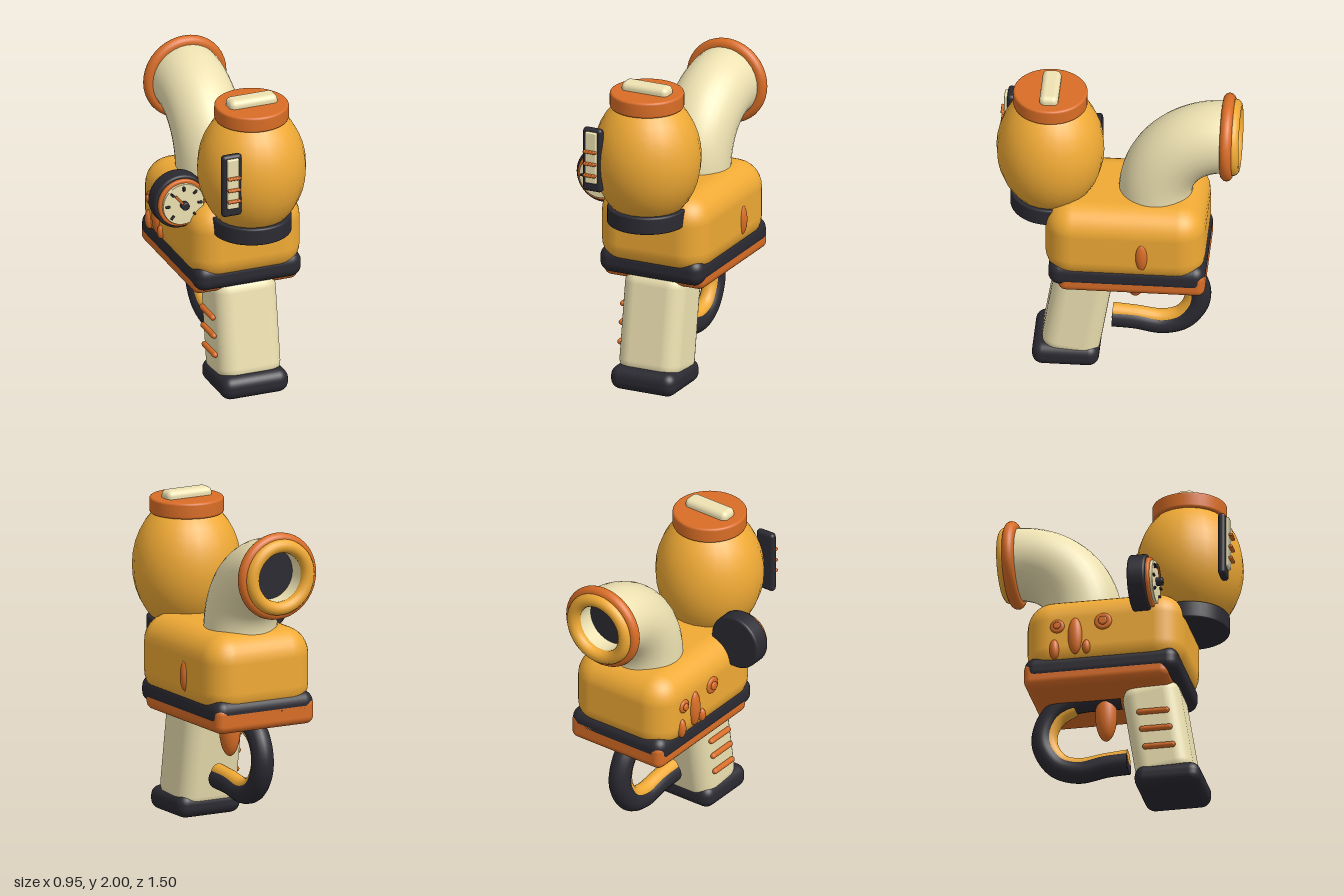
import * as THREE from 'three';
import { RoundedBoxGeometry } from 'three/addons/geometries/RoundedBoxGeometry.js';

const CX = 0.09; // centre line of the main parts

export function createModel() {
  const model = new THREE.Group();
  model.name = 'nozzleTool';
  const mat = (color) => new THREE.MeshStandardMaterial({ color });
  const yellow = mat(0xf0aa35), orange = mat(0xd96d26), cream = mat(0xeee2b2), dark = mat(0x2b2a32);
  const creamOpen = mat(0xeee2b2);
  creamOpen.side = THREE.DoubleSide;

  const add = (name, geometry, material, x, y, z, parent = model) => {
    const mesh = new THREE.Mesh(geometry, material);
    mesh.name = name;
    mesh.position.set(x, y, z);
    parent.add(mesh);
    return mesh;
  };
  const box = (name, material, w, h, d, r, x, y, z, parent) =>
    add(name, new RoundedBoxGeometry(w, h, d, 4, r), material, x, y, z, parent);
  const ellipsoid = (name, material, rx, ry, rz, x, y, z) =>
    add(name, new THREE.SphereGeometry(1, 24, 18).scale(rx, ry, rz), material, x, y, z);

  // Solid disc about y with rounded rims
  const disc = (r, h, bevel) => {
    const pts = [new THREE.Vector2(0, -h / 2), new THREE.Vector2(r - bevel, -h / 2)];
    for (const side of [-1, 1]) {
      for (let i = 0; i <= 4; i++) {
        const a = (side < 0 ? -Math.PI / 2 : 0) + (i / 4) * Math.PI / 2;
        pts.push(new THREE.Vector2(r - bevel + bevel * Math.cos(a), side * (h / 2 - bevel) + bevel * Math.sin(a)));
      }
    }
    pts.push(new THREE.Vector2(0, h / 2));
    return new THREE.LatheGeometry(pts, 40);
  };

  // Body, seam band and base plate
  box('body', yellow, 0.73, 0.52, 0.98, 0.17, CX, 1.01, -0.055);
  box('seamBand', dark, 0.70, 0.17, 0.96, 0.07, CX, 0.795, -0.07);
  box('basePlate', orange, 0.69, 0.17, 0.90, 0.05, CX, 0.76, -0.10);

  // Slanted grip with foot and side ribs
  box('grip', cream, 0.41, 0.68, 0.36, 0.1, CX, 0.4, 0.245).rotation.x = -0.16;
  box('gripFoot', dark, 0.44, 0.15, 0.41, 0.065, CX, 0.08, 0.315);
  for (const y of [0.265, 0.385, 0.5]) {
    const rib = add('gripRib', new THREE.CapsuleGeometry(0.018, 0.17, 6, 12), orange, -0.125, y, 0.25 - 0.16 * (y - 0.4));
    rib.rotation.x = Math.PI / 2;
  }

  // Trigger and its guard: a dark tube lined on the inside with yellow
  ellipsoid('trigger', orange, 0.065, 0.17, 0.067, CX, 0.595, -0.1);
  const tube = (name, pts, r, material) => {
    const curve = new THREE.CatmullRomCurve3(pts.map(([z, y]) => new THREE.Vector3(CX, y, z)));
    add(name, new THREE.TubeGeometry(curve, 60, r, 18), material, 0, 0, 0);
    const end = add(name + 'End', new THREE.CircleGeometry(r, 18), material, CX, pts[0][1], pts[0][0]);
    end.lookAt(end.position.clone().sub(curve.getTangent(0)));
  };
  tube('triggerGuard', [[0.04, 0.262], [-0.1, 0.255], [-0.27, 0.23], [-0.4, 0.275], [-0.485, 0.4],
    [-0.49, 0.51], [-0.43, 0.63], [-0.3, 0.695], [0, 0.705]], 0.069, dark);
  tube('guardLining', [[0.04, 0.302], [-0.1, 0.29], [-0.27, 0.272], [-0.38, 0.31], [-0.445, 0.41],
    [-0.45, 0.5], [-0.4, 0.6], [-0.3, 0.66]], 0.05, yellow);

  // Bent pipe: a quarter torus rising from the body and turning to the back
  const elbow = new THREE.TorusGeometry(0.42, 0.225, 32, 32, Math.PI / 2).rotateY(-Math.PI / 2);
  add('bentPipe', elbow, creamOpen, CX, 1.24, -0.645);
  const pipeEnd = new THREE.CylinderGeometry(0.225, 0.225, 0.06, 40, 1, true).rotateX(Math.PI / 2);
  add('pipeEnd', pipeEnd, creamOpen, CX, 1.66, -0.67);

  // Mouth: orange flange, yellow lip, short liner and dark bore
  const flange = [[0.18, -0.037]];
  for (let i = 0; i <= 10; i++) {
    const a = -Math.PI / 2 + (i / 10) * Math.PI;
    flange.push([0.234 + 0.037 * Math.cos(a), 0.037 * Math.sin(a)]);
  }
  flange.push([0.18, 0.037]);
  const flangeGeo = new THREE.LatheGeometry(flange.map((p) => new THREE.Vector2(...p)), 40).rotateX(Math.PI / 2);
  add('mouthFlange', flangeGeo, orange, CX, 1.66, -0.667);
  add('mouthLip', new THREE.TorusGeometry(0.195, 0.042, 16, 40), yellow, CX, 1.66, -0.703);
  add('mouthLiner', new THREE.CylinderGeometry(0.16, 0.16, 0.13, 36, 1, true).rotateX(Math.PI / 2), creamOpen, CX, 1.66, -0.635);
  add('mouthBore', new THREE.CircleGeometry(0.165, 36).rotateY(Math.PI), dark, CX, 1.66, -0.58);

  // Canister with collar, cap and cap handle
  ellipsoid('canister', yellow, 0.335, 0.42, 0.33, CX, 1.525, 0.42);
  add('canisterCollar', disc(0.245, 0.11, 0.012), dark, CX, 1.155, 0.42);
  add('canisterCap', disc(0.228, 0.1, 0.015), orange, CX, 1.9, 0.42);
  box('capHandle', cream, 0.315, 0.08, 0.115, 0.035, CX, 1.96, 0.42);

  // Level indicator on the canister
  box('levelFrame', dark, 0.13, 0.41, 0.048, 0.022, -0.148, 1.55, 0.677);
  box('levelStrip', cream, 0.076, 0.33, 0.03, 0.008, -0.148, 1.57, 0.705);
  for (const y of [1.46, 1.535, 1.613]) {
    box('levelMark', orange, 0.085, 0.018, 0.025, 0.006, -0.148, y, 0.729);
  }

  // Dial gauge facing the front
  const gauge = new THREE.Group();
  gauge.name = 'gauge';
  gauge.position.set(-0.305, 1.28, 0);
  model.add(gauge);
  const layer = (name, material, r, z0, z1, bevel) =>
    add(name, disc(r, z1 - z0, bevel).rotateX(Math.PI / 2), material, 0, 0, (z0 + z1) / 2, gauge);
  layer('gaugeCase', dark, 0.175, 0.14, 0.252, 0.015);
  layer('gaugeRing', orange, 0.155, 0.24, 0.275, 0.01);
  layer('gaugeFace', cream, 0.134, 0.26, 0.293, 0.004);
  for (let i = -3; i <= 3; i++) {
    const a = i * Math.PI / 4;
    const tick = box('gaugeTick', dark, 0.014, 0.03, 0.015, 0.004, 0.105 * Math.sin(a), 0.105 * Math.cos(a), 0.298, gauge);
    tick.rotation.z = -a;
  }
  const needle = box('gaugeNeedle', orange, 0.016, 0.1, 0.014, 0.005, -0.031, 0.037, 0.318, gauge);
  needle.rotation.z = 0.7;
  layer('gaugeHub', dark, 0.026, 0.29, 0.335, 0.008);

  // Studs and knobs on the two sides of the body
  ellipsoid('leftStud', orange, 0.035, 0.102, 0.04, 0.44, 0.98, -0.165);
  ellipsoid('rightStud', orange, 0.035, 0.12, 0.045, -0.27, 0.98, -0.22);
  ellipsoid('lowerStud', orange, 0.025, 0.045, 0.025, -0.275, 0.9, -0.15);
  ellipsoid('rearStud', orange, 0.03, 0.065, 0.03, -0.27, 0.9, -0.35);
  for (const [r, y, z] of [[0.055, 1.06, -0.045], [0.045, 1.05, -0.33]]) {
    add('sideKnob', disc(r, 0.05, 0.015).rotateZ(Math.PI / 2), orange, -0.262, y, z);
    add('knobCentre', disc(r * 0.5, 0.03, 0.008).rotateZ(Math.PI / 2), orange, -0.285, y, z);
  }

  return model;
}
